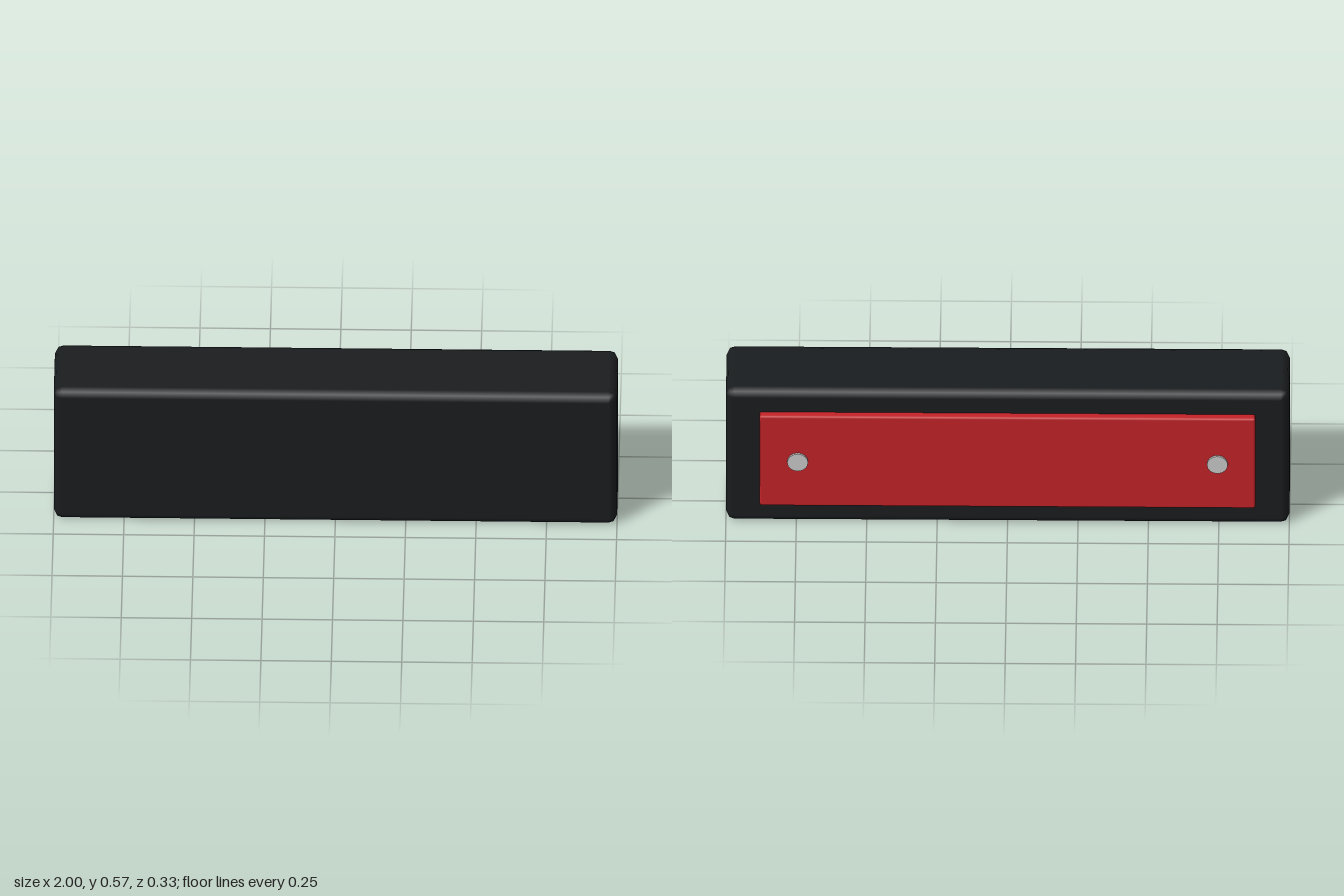
import * as THREE from 'three';
import { RoundedBoxGeometry } from 'three/addons/geometries/RoundedBoxGeometry.js';

const paint = (color) => new THREE.MeshStandardMaterial({ color });

export function createModel() {
  const model = new THREE.Group();
  const midY = 0.284;

  function add(name, geometry, material, x, z) {
    const mesh = new THREE.Mesh(geometry, material);
    mesh.name = name;
    mesh.position.set(x, midY, z);
    model.add(mesh);
    return mesh;
  }

  // Dark block with softly bevelled edges
  add('body', new RoundedBoxGeometry(2, 0.567, 0.298, 1, 0.03), paint(0x1a1d1f), 0, 0.019);

  // Raised red plate on the back
  add('backPlate', new RoundedBoxGeometry(1.76, 0.387, 0.045, 1, 0.008), paint(0xc42328), 0, -0.1365);

  // Round screw heads at both ends of the plate
  const screw = new THREE.CylinderGeometry(0.037, 0.037, 0.02, 16).rotateX(-Math.PI / 2);
  const metal = paint(0xcccccc);
  add('leftScrew', screw, metal, 0.745, -0.157);
  add('rightScrew', screw, metal, -0.745, -0.157);

  return model;
}
